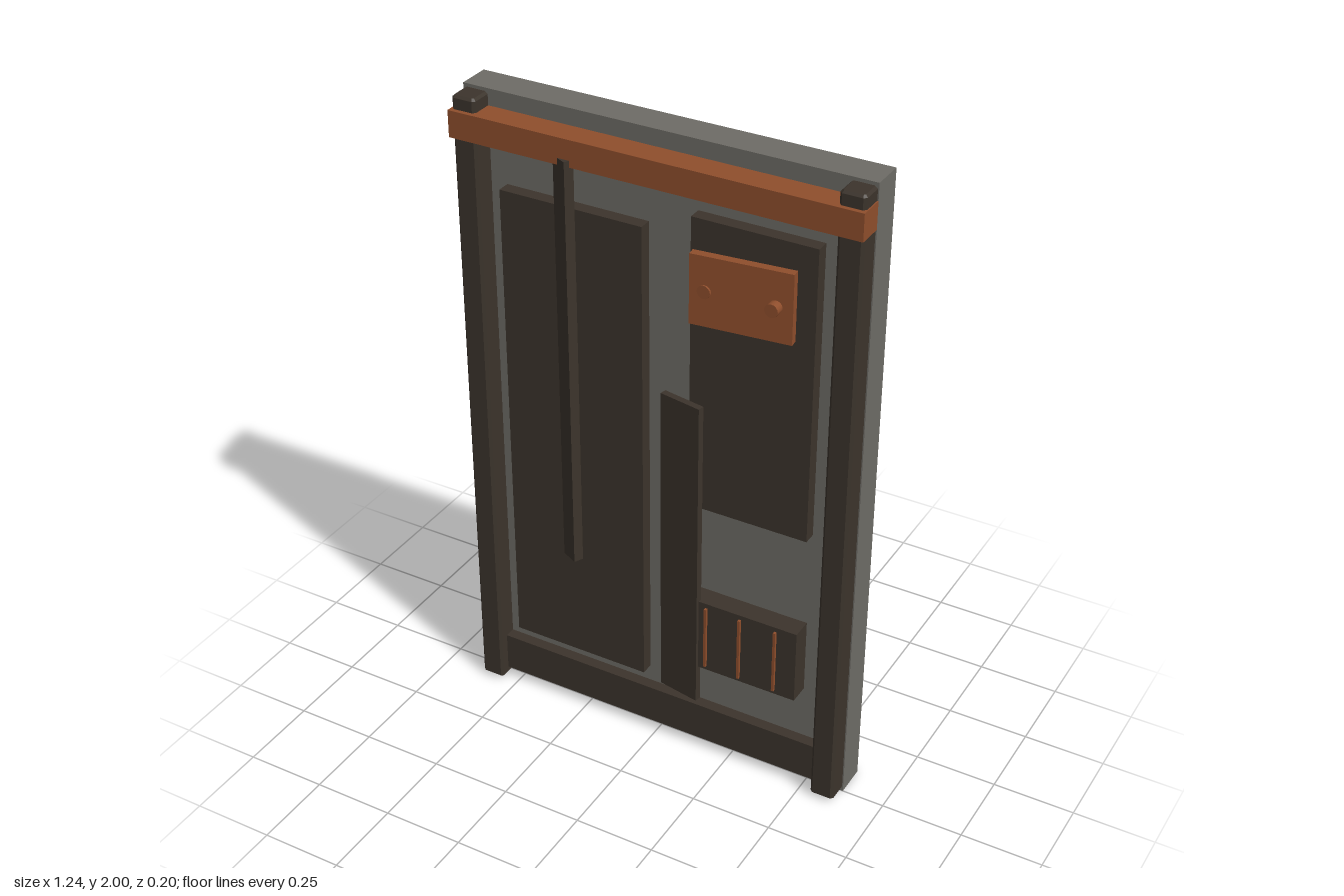
import * as THREE from 'three';

export function createModel() {
  const stone = new THREE.MeshStandardMaterial({ color: 0x6e6c66 });
  stone.name = 'grey stone';
  const iron = new THREE.MeshStandardMaterial({ color: 0x3c342c });
  iron.name = 'dark iron';
  const rust = new THREE.MeshStandardMaterial({ color: 0x8f4e2c });
  rust.name = 'rusty orange';

  const model = new THREE.Group();
  model.name = 'wallPanel';

  const add = (name, geometry, material, x, y, z, turn = 0) => {
    const mesh = new THREE.Mesh(geometry, material);
    mesh.name = name;
    mesh.position.set(x, y, z);
    mesh.rotation.y = turn;
    model.add(mesh);
    return mesh;
  };

  // Box given by its extents on each axis
  const slab = (name, material, x0, x1, y0, y1, z0, z1) =>
    add(name, new THREE.BoxGeometry(x1 - x0, y1 - y0, z1 - z0), material,
      (x0 + x1) / 2, (y0 + y1) / 2, (z0 + z1) / 2);

  // Upright box with chamfered edges
  const chamferedPost = (w, h, d, c) => {
    const x = w / 2 - c, z = d / 2 - c;
    const k = c * 0.6;
    const s = new THREE.Shape();
    s.moveTo(-x + k, -z);
    s.lineTo(x - k, -z);
    s.lineTo(x, -z + k);
    s.lineTo(x, z - k);
    s.lineTo(x - k, z);
    s.lineTo(-x + k, z);
    s.lineTo(-x, z - k);
    s.lineTo(-x, -z + k);
    s.closePath();
    const g = new THREE.ExtrudeGeometry(s, {
      depth: h - 2 * c, bevelEnabled: true, bevelSegments: 1, bevelSize: c, bevelThickness: c,
    });
    g.translate(0, 0, -(h - 2 * c) / 2);
    g.rotateX(-Math.PI / 2);
    return g;
  };

  // Wall and frame
  slab('wall', stone, -0.62, 0.62, 0, 2, -0.1, 0);
  for (const side of [-1, 1]) {
    add(side > 0 ? 'leftPost' : 'rightPost', chamferedPost(0.075, 1.98, 0.075, 0.007),
      iron, side * 0.579, 1.0, 0.029);
  }
  slab('bottomRail', iron, -0.545, 0.545, 0.035, 0.16, -0.01, 0.035);
  slab('topBeam', rust, -0.62, 0.62, 1.87, 1.95, 0, 0.08);

  // Flat plates on the wall
  slab('tallPlate', iron, -0.49, -0.04, 0.215, 1.727, 0, 0.04);
  slab('upperPlate', iron, 0.11, 0.483, 0.885, 1.797, 0, 0.04);

  // Turned bar and slanted strip
  add('verticalBar', new THREE.BoxGeometry(0.056, 1.3, 0.03), iron, -0.2625, 1.24, 0.069, -0.46);
  add('slantedStrip', new THREE.BoxGeometry(0.136, 1.025, 0.02), iron, 0.093, 0.7225, 0.052, -0.18);

  // Vent with thin bars
  slab('ventPlate', iron, 0.12, 0.477, 0.335, 0.575, 0, 0.065);
  for (const x of [0.185, 0.295, 0.41]) {
    slab('ventBar', rust, x - 0.004, x + 0.004, 0.35, 0.56, 0.06, 0.074);
  }

  // Crooked sign plate with two rivets
  add('signPlate', new THREE.BoxGeometry(0.294, 0.21, 0.025), rust, 0.282, 1.617, 0.07, 0.1);
  for (const x of [0.18, 0.38]) {
    const g = new THREE.CylinderGeometry(0.02, 0.02, 0.04, 16);
    g.rotateX(Math.PI / 2);
    add('rivet', g, rust, x, 1.617, x > 0.3 ? 0.078 : 0.077);
  }

  return model;
}
